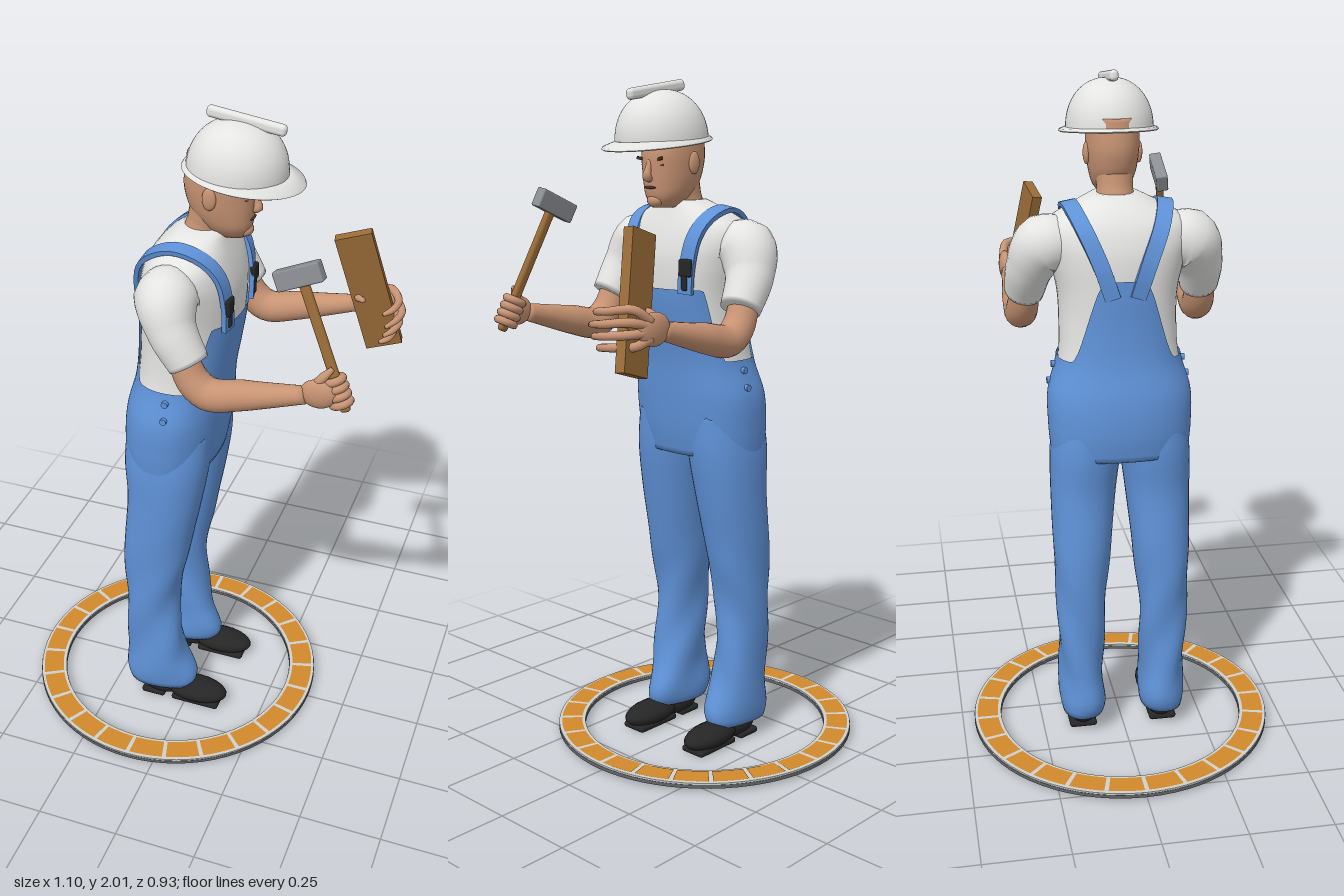
import * as THREE from 'three';
import { mergeVertices, toCreasedNormals } from 'three/addons/utils/BufferGeometryUtils.js';
import { RoundedBoxGeometry } from 'three/addons/geometries/RoundedBoxGeometry.js';

const mat = (name, color, side = THREE.FrontSide) =>
  Object.assign(new THREE.MeshStandardMaterial({ color, side }), { name });
const M = {
  denim: mat('blue denim', 0x5f92d8, THREE.DoubleSide), white: mat('white', 0xe4e5e3),
  skin: mat('skin', 0xc79373), black: mat('black', 0x262626), dark: mat('dark brown', 0x4a3527),
  wood: mat('wood', 0x9a6c38), steel: mat('steel grey', 0x8b8e93),
  orange: mat('orange', 0xd2892c), light: mat('light grey', 0xcfd1ce), base: mat('dark grey', 0x636466),
};
const V = (a) => new THREE.Vector3(...a);

// Smooth grid from f(angle, v); closed around, each end optionally capped
function surface(f, nu, nv, capA = true, capB = true) {
  const rows = [];
  for (let j = 0; j <= nv; j++) {
    rows.push(Array.from({ length: nu }, (_, i) => f(i / nu * Math.PI * 2, j / nv)));
  }
  const centre = (row) => {
    const c = row.reduce((s, p) => s.add(p), new THREE.Vector3()).divideScalar(nu);
    return row.map(() => c);
  };
  if (capA) rows.unshift(centre(rows[0]));
  if (capB) rows.push(centre(rows[rows.length - 1]));
  const pos = [], idx = [];
  rows.forEach((r) => r.forEach((p) => pos.push(p.x, p.y, p.z)));
  for (let j = 0; j < rows.length - 1; j++) {
    for (let i = 0; i < nu; i++) {
      const a = j * nu + i, b = j * nu + (i + 1) % nu;
      idx.push(a, a + nu, b, b, a + nu, b + nu);
    }
  }
  let g = new THREE.BufferGeometry();
  g.setAttribute('position', new THREE.Float32BufferAttribute(pos, 3));
  g.setIndex(idx);
  g = mergeVertices(g, 1e-5);
  g.computeVertexNormals();
  return g;
}

// Smooth lookup in rows of [y, back x, front x, inner z, outer z]
function lookup(t, y) {
  let k = 0;
  while (k < t.length - 2 && y > t[k + 1][0]) k++;
  const s = THREE.MathUtils.clamp((y - t[k][0]) / (t[k + 1][0] - t[k][0]), 0, 1);
  const slope = (i, c) => {
    const a = t[Math.max(i - 1, 0)], b = t[Math.min(i + 1, t.length - 1)];
    return (b[c] - a[c]) / (b[0] - a[0]) * (t[k + 1][0] - t[k][0]);
  };
  return [1, 2, 3, 4].map((c) => {
    const p = t[k][c], q = t[k + 1][c], s2 = s * s, s3 = s2 * s;
    return p * (2 * s3 - 3 * s2 + 1) + q * (3 * s2 - 2 * s3) + slope(k, c) * (s3 - 2 * s2 + s) + slope(k + 1, c) * (s3 - s2);
  });
}
function section(t, a, y, n = 2, grow = 0) {
  const [xb, xf, zi, zo] = lookup(t, y);
  const pw = (v) => Math.sign(v) * Math.abs(v) ** (2 / n);
  return new THREE.Vector3((xb + xf) / 2 + ((xf - xb) / 2 + grow) * pw(Math.cos(a)), y,
    (zi + zo) / 2 + ((zo - zi) / 2 + grow) * pw(Math.sin(a)));
}
// Round tube along points with a radius at each point
function limb(pts, radii, nu = 16, nv = 20) {
  const curve = new THREE.CatmullRomCurve3(pts.map(V));
  const fr = curve.computeFrenetFrames(nv);
  return surface((a, v) => {
    const j = Math.round(v * nv), w = curve.getUtoTmapping(v) * (radii.length - 1);
    const k = Math.min(Math.floor(w), radii.length - 2);
    const r = THREE.MathUtils.lerp(radii[k], radii[k + 1], w - k);
    return curve.getPointAt(v).addScaledVector(fr.normals[j], r * Math.cos(a)).addScaledVector(fr.binormals[j], -r * Math.sin(a));
  }, nu, nv);
}
// Flat band along points, lying against the body
function band(pts, width, thick) {
  const curve = new THREE.CatmullRomCurve3(pts.map(V));
  return toCreasedNormals(surface((a, v) => {
    const p = curve.getPointAt(v), t = curve.getTangentAt(v);
    const out = p.clone().sub(new THREE.Vector3(-0.02, 1.45, p.z * 0.75));
    out.addScaledVector(t, -out.dot(t)).normalize();
    const side = new THREE.Vector3().crossVectors(out, t);
    const c = Math.cos(a + Math.PI / 4), s = Math.sin(a + Math.PI / 4);
    return p.addScaledVector(out, Math.sign(c) * thick / 2).addScaledVector(side, -Math.sign(s) * width / 2);
  }, 4, 28), 0.7);
}

const TORSO = [
  [0.92, -0.2, 0.055, -0.2, 0.2], [1.0, -0.208, 0.07, -0.206, 0.206], [1.1, -0.2, 0.08, -0.205, 0.205],
  [1.2, -0.175, 0.088, -0.178, 0.178], [1.3, -0.165, 0.105, -0.172, 0.172], [1.4, -0.163, 0.12, -0.176, 0.176],
  [1.5, -0.158, 0.123, -0.2, 0.2], [1.55, -0.147, 0.115, -0.212, 0.212], [1.6, -0.125, 0.1, -0.198, 0.198],
  [1.64, -0.09, 0.085, -0.13, 0.13], [1.67, -0.05, 0.075, -0.066, 0.066]];
const LEG = [
  [0.06, -0.2, 0.015, 0.062, 0.188], [0.1, -0.215, 0.026, 0.054, 0.193], [0.2, -0.2, -0.006, 0.06, 0.195],
  [0.4, -0.2, -0.03, 0.055, 0.2], [0.6, -0.204, 0.002, 0.036, 0.207], [0.8, -0.19, 0.04, 0.015, 0.21],
  [0.93, -0.198, 0.06, 0, 0.208], [1.05, -0.19, 0.065, 0, 0.19]];
const HEAD = [
  [1.65, 0.04, 0.132, -0.03, 0.03], [1.68, 0.01, 0.147, -0.054, 0.054], [1.72, -0.025, 0.153, -0.067, 0.067],
  [1.76, -0.04, 0.156, -0.073, 0.073], [1.8, -0.045, 0.157, -0.076, 0.076], [1.88, -0.035, 0.14, -0.074, 0.074]];

export function createModel() {
  const root = new THREE.Group();
  const add = (name, geo, m, parent = root) => {
    const mesh = new THREE.Mesh(geo, m);
    mesh.name = name;
    parent.add(mesh);
    return mesh;
  };
  const ball = (name, m, p, s, parent = root) => {
    const b = add(name, new THREE.SphereGeometry(1, 20, 14), m, parent);
    b.position.set(...p); b.scale.set(...s);
    return b;
  };

  // Tiled ring on the ground
  const hoop = (ri, ro, y0, y1) => toCreasedNormals(new THREE.LatheGeometry(
    [[ri, y0], [ro, y0], [ro, y1], [ri, y1], [ri, y0]].map((p) => new THREE.Vector2(...p)), 72), 0.6);
  const ring = new THREE.Group();
  ring.name = 'groundRing'; ring.position.x = -0.083; root.add(ring);
  add('ringBase', hoop(0.38, 0.465, 0.01, 0.021), M.base, ring);
  add('ringRim', hoop(0.381, 0.464, 0.021, 0.026), M.light, ring);
  for (let i = 0; i < 24; i++) {
    add('ringTile', new THREE.RingGeometry(0.391, 0.455, 6, 1, i * Math.PI / 12 + 0.014, Math.PI / 12 - 0.028)
      .rotateX(-Math.PI / 2).translate(0, 0.028, 0), M.orange, ring);
  }

  // Shirt, and overalls whose top edge is a bib in front, a dip at each side and a narrow back panel
  add('shirt', surface((a, v) => section(TORSO, a, 1.12 + v * 0.55, 2.3), 48, 36), M.white);
  const ss = THREE.MathUtils.smoothstep;
  const topEdge = (a) => {
    const d = Math.abs(a > Math.PI ? a - 2 * Math.PI : a);
    return 1.21 + 0.21 * (1 - ss(d, 0.82, 1.2)) + 0.24 * ss(d, Math.PI - 0.95, Math.PI - 0.2);
  };
  add('overalls', surface((a, v) => section(TORSO, a, 0.92 + v * (topEdge(a) - 0.92), 2.3, 0.006), 96, 30, true, false), M.denim);

  for (const s of [1, -1]) {
    // Trouser leg with soft folds, shoe, strap and buckle
    add('trouserLeg', surface((a, v) => {
      const y = 0.06 + v * 0.99, fold = 0.004 * Math.sin(a * 3 + y * 22) * (1 - ss(y, 0.3, 0.75));
      const p = section(LEG, a, y, 2.2, fold);
      p.z *= s;
      return p;
    }, 36, 48), M.denim);
    ball('shoe', M.black, [0.03, 0.04, s * 0.128], [0.105, 0.036, 0.054]);
    ball('shoeHeel', M.black, [-0.085, 0.045, s * 0.125], [0.08, 0.042, 0.046]);
    for (const [x, l] of [[0.035, 0.16], [-0.11, 0.08]]) {
      const sole = add('shoeSole', new RoundedBoxGeometry(l, 0.02, 0.085, 3, 0.009), M.black);
      sole.position.set(x, 0.011, s * 0.127);
    }
    add('strap', band([[-0.165, 1.4, 0.035], [-0.16, 1.5, 0.07], [-0.124, 1.592, 0.11], [-0.03, 1.646, 0.137],
      [0.055, 1.625, 0.135], [0.1, 1.57, 0.122], [0.117, 1.48, 0.11], [0.118, 1.41, 0.105]]
      .map(([x, y, z]) => [x, y, z * s]), 0.046, 0.014), M.denim);
    const buckle = add('buckle', new RoundedBoxGeometry(0.018, 0.05, 0.044, 2, 0.006), M.black);
    buckle.position.set(0.122, 1.485, s * 0.11);
    const clasp = add('buckleClasp', new RoundedBoxGeometry(0.016, 0.05, 0.02, 2, 0.006), M.black);
    clasp.position.set(0.122, 1.445, s * 0.107);
    for (const y of [1.13, 1.18]) {
      const b = add('sideButton', new THREE.CylinderGeometry(0.01, 0.01, 0.012, 14).rotateX(Math.PI / 2), M.denim);
      b.position.set(-0.04, y, s * (y > 1.15 ? 0.193 : 0.206));
    }
    // Sleeve and bare arm
    add('sleeve', limb([[-0.025, 1.53, s * 0.13], [-0.022, 1.53, s * 0.21], [0.005, 1.465, s * 0.248], [0.06, 1.375, s * 0.262]],
      [0.07, 0.09, 0.07, 0.058], 24), M.white);
    add('arm', limb([[0.03, 1.42, s * 0.258], [0.075, 1.325, s * 0.266], [0.12, 1.295, s * 0.268], [0.22, 1.313, s * 0.27], [0.39, 1.352, s * 0.272]],
      [0.042, 0.047, 0.048, 0.043, 0.025], 20, 28), M.skin);
    // Ear, eye and brow
    ball('ear', M.skin, [0.05, 1.775, s * 0.076], [0.02, 0.032, 0.01]);
    const eye = ball('eye', M.dark, [0.144, 1.77, s * 0.031], [0.004, 0.005, 0.014]);
    eye.rotation.y = -s * 0.35;
    const brow = add('brow', new THREE.BoxGeometry(0.007, 0.008, 0.036), M.dark);
    brow.position.set(0.148, 1.786, s * 0.032);
    brow.rotation.set(-s * 0.2, s * 0.3, 0);
  }

  // Head
  add('neck', limb([[-0.005, 1.6, 0], [0.015, 1.68, 0], [0.035, 1.77, 0]], [0.062, 0.052, 0.055], 24), M.skin);
  add('head', surface((a, v) => section(HEAD, a, 1.65 + v * 0.23, 2.15), 36, 24), M.skin);
  add('nose', limb([[0.15, 1.785, 0], [0.16, 1.755, 0], [0.164, 1.738, 0], [0.15, 1.73, 0]], [0.007, 0.01, 0.014, 0.01], 12, 12), M.skin);
  ball('chin', M.skin, [0.13, 1.67, 0], [0.022, 0.02, 0.026]);
  ball('lips', M.dark, [0.151, 1.707, 0], [0.005, 0.004, 0.022]);

  // Hard hat
  const hat = new THREE.Group();
  hat.name = 'hardHat'; hat.position.set(0.11, 1.835, 0); hat.rotation.z = -0.11; root.add(hat);
  const profile = Array.from({ length: 17 }, (_, i) => {
    const a = i / 16 * Math.PI / 2;
    return new THREE.Vector2(Math.cos(a) ** 0.9, Math.sin(a) ** 0.95);
  });
  profile[16].x = 0;
  add('hatShell', new THREE.LatheGeometry(profile, 48).scale(0.14, 0.142, 0.127), M.white, hat).position.x = -0.007;
  add('hatBrim', toCreasedNormals(new THREE.LatheGeometry([[0.1, 0], [0.97, -0.009], [1, -0.006], [0.98, 0], [0.75, 0.012], [0.1, 0.012]]
    .map((p) => new THREE.Vector2(...p)), 48), 0.8).scale(0.171, 1, 0.145), M.white, hat).position.x = 0.012;
  const ridge = add('hatRidge', new RoundedBoxGeometry(0.222, 0.032, 0.026, 4, 0.012), M.white, hat);
  ridge.position.set(0.001, 0.143, 0); ridge.rotation.z = -0.03;

  // Hammer held in the right hand
  const hammer = new THREE.Group();
  hammer.name = 'hammer'; root.add(hammer);
  const top = V([0.345, 1.66, 0.195]), end = V([0.5, 1.31, 0.25]);
  const up = top.clone().sub(end), len = up.length();
  up.normalize();
  const across = V([0.9, 0.42, 0]);
  across.addScaledVector(up, -across.dot(up)).normalize();
  hammer.quaternion.setFromRotationMatrix(new THREE.Matrix4().makeBasis(across, up, across.clone().cross(up)));
  hammer.position.copy(end);
  add('hammerHandle', new RoundedBoxGeometry(0.028, len, 0.022, 3, 0.009), M.wood, hammer).position.y = len / 2;
  add('hammerHead', new RoundedBoxGeometry(0.132, 0.055, 0.036, 2, 0.005), M.steel, hammer).position.set(-0.006, len, 0);
  for (let i = 0; i < 4; i++) {
    const f = add('gripFinger', new THREE.TorusGeometry(0.024, 0.0115, 10, 20).rotateX(Math.PI / 2), M.skin, hammer);
    f.position.set(-0.004, 0.028 + i * 0.022, 0.002);
  }
  ball('rightPalm', M.skin, [0.425, 1.36, 0.268], [0.05, 0.042, 0.022]);
  add('rightThumb', limb([[0.41, 1.375, 0.265], [0.435, 1.41, 0.262], [0.455, 1.43, 0.245]], [0.014, 0.013, 0.007], 12, 10), M.skin);

  // Plank held in the left hand
  const plank = add('plank', new THREE.BoxGeometry(0.107, 0.385, 0.03), M.wood);
  plank.position.set(0.435, 1.425, -0.226);
  plank.rotation.set(0.12, 0.2, 0.27);
  ball('leftPalm', M.skin, [0.425, 1.36, -0.282], [0.058, 0.046, 0.02]);
  for (let i = 0; i < 4; i++) {
    const y = 1.315 + i * 0.032, w = [0.02, 0.005, 0, 0.012][i];
    add('leftFinger', limb([[0.44, 1.34 + i * 0.014, -0.287], [0.5 - w, y + 0.005, -0.272], [0.537 - w, y, -0.215], [0.53 - w, y - 0.006, -0.165], [0.51 - w, y - 0.012, -0.13 - w]],
      [0.013, 0.013, 0.0115, 0.01, 0.006], 12, 20), M.skin);
  }
  add('leftThumb', limb([[0.39, 1.365, -0.275], [0.4, 1.395, -0.245], [0.41, 1.405, -0.205], [0.43, 1.41, -0.185]], [0.014, 0.013, 0.011, 0.007], 12, 14), M.skin);
  return root;
}
